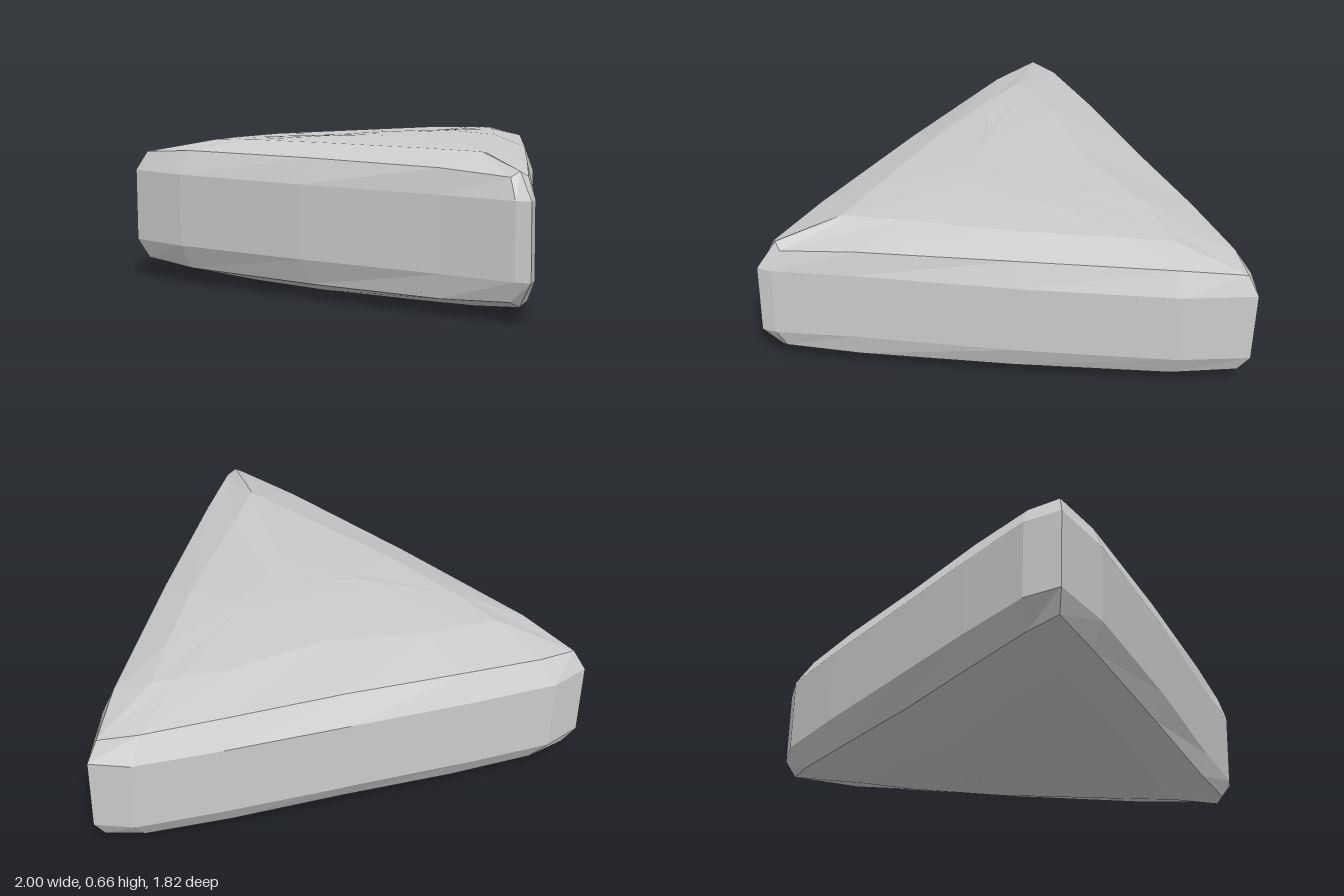
import * as THREE from 'three';

// Half outlines from the front tip, along the left side, to the middle of the back: [x, z, height above mid-plane]
const WALL = [
  [0, 0.905, 0.157], [0.045, 0.86, 0.157], [0.21, 0.57, 0.157], [0.565, 0, 0.157], [0.89, -0.57, 0.157],
  [1, -0.845, 0.157], [0.85, -0.905, 0.157], [0.5, -0.915, 0.157], [0, -0.915, 0.157],
];
const BEVEL = [
  [0, 0.82, 0.265], [0.04, 0.815, 0.243], [0.2, 0.545, 0.261], [0.52, 0, 0.265], [0.84, -0.57, 0.26],
  [0.955, -0.818, 0.24], [0.8, -0.85, 0.255], [0.46, -0.855, 0.263], [0, -0.848, 0.265],
];
const CROWN = [
  [0, 0.53, 0.313], [0.02, 0.5, 0.314], [0.14, 0.32, 0.316], [0.42, -0.1, 0.316], [0.6, -0.42, 0.31],
  [0.7, -0.62, 0.3], [0.6, -0.63, 0.305], [0.4, -0.64, 0.312], [0, -0.58, 0.318],
];
const CENTRE = [
  [0, -0.03, 0.33], [0.02, -0.045, 0.33], [0.1, -0.11, 0.33], [0.2, -0.19, 0.33], [0.27, -0.25, 0.33],
  [0.3, -0.28, 0.329], [0.26, -0.29, 0.329], [0.16, -0.3, 0.33], [0, -0.29, 0.332],
];
const MID = 0.333;

// Mirror a half outline into a closed ring above (+1) or below (-1) the mid-plane
function ring(half, side) {
  const mirrored = half.slice(1, -1).reverse().map(([x, z, h]) => [-x, z, h]);
  return [...half, ...mirrored].map(([x, z, h]) => [x, MID + side * h, z]);
}

// Skin a stack of rings, bottom to top, and close both ends
function loft(rings) {
  const n = rings[0].length;
  const positions = rings.flat(2);
  const index = [];
  for (let r = 0; r < rings.length - 1; r++) {
    for (let i = 0; i < n; i++) {
      const a = r * n + i, b = r * n + (i + 1) % n;
      index.push(a, b, b + n, a, b + n, a + n);
    }
  }
  const bottom = rings.length * n, top = bottom + 1;
  const last = (rings.length - 1) * n;
  positions.push(0, 0.001, -0.2, 0, 2 * MID - 0.001, -0.2);
  for (let i = 0; i < n; i++) {
    const j = (i + 1) % n;
    index.push(bottom, j, i, top, last + i, last + j);
  }
  const geometry = new THREE.BufferGeometry();
  geometry.setAttribute('position', new THREE.Float32BufferAttribute(positions, 3));
  geometry.setIndex(index);
  const flat = geometry.toNonIndexed();
  flat.computeVertexNormals();
  return flat;
}

export function createModel() {
  const group = new THREE.Group();
  group.name = 'triangularStone';
  const layers = [WALL, BEVEL, CROWN, CENTRE];

  // Bevelled, slightly domed triangular block, the same above and below
  const stone = new THREE.Mesh(
    loft([...layers.slice().reverse().map((l) => ring(l, -1)), ...layers.map((l) => ring(l, 1))]),
    new THREE.MeshStandardMaterial({ color: 0xcccccc, flatShading: true })
  );
  stone.name = 'stoneBody';
  group.add(stone);
  return group;
}
